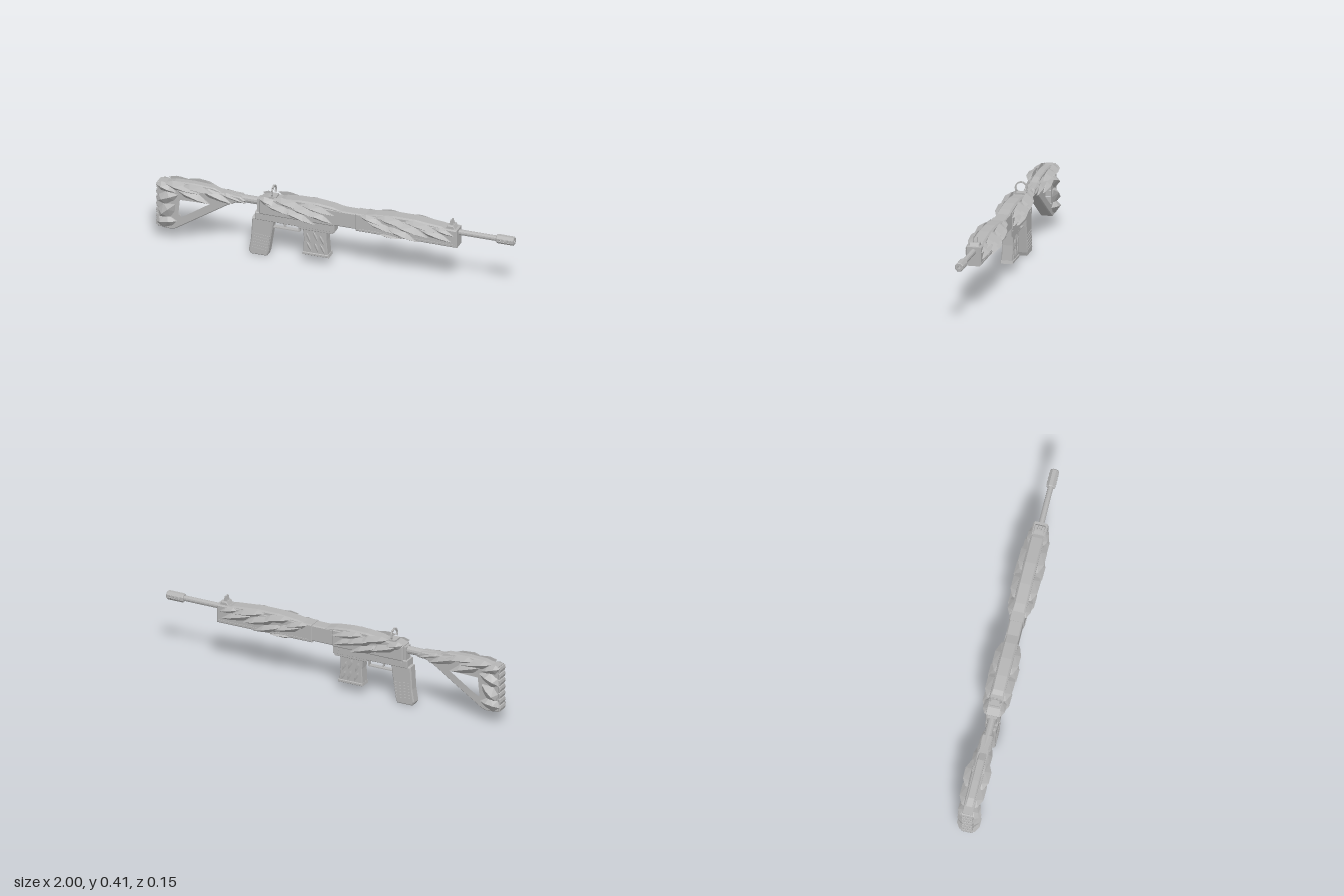
import * as THREE from 'three';
import { ConvexGeometry } from 'three/addons/geometries/ConvexGeometry.js';

export function createModel() {
  const root = new THREE.Group();
  root.name = 'scaledRifle';
  const grey = new THREE.MeshStandardMaterial({ color: 0xb4b4b4, flatShading: true });
  grey.name = 'grey';

  const add = (name, geo, x = 0, y = 0, z = 0) => {
    const m = new THREE.Mesh(geo, grey);
    m.name = name;
    m.position.set(x, y, z);
    root.add(m);
    return m;
  };
  const box = (name, x0, x1, y0, y1, half, z = 0) =>
    add(name, new THREE.BoxGeometry(x1 - x0, y1 - y0, half * 2), (x0 + x1) / 2, (y0 + y1) / 2, z);

  // side profile extruded across z with chamfered edges
  const slab = (name, pts, half, bevel = 0.006, hole = null) => {
    const v = (a) => a.map((p) => new THREE.Vector2(p[0], p[1]));
    const s = new THREE.Shape(v(pts));
    if (hole) s.holes.push(new THREE.Path(v(hole)));
    const g = new THREE.ExtrudeGeometry(s, {
      depth: 2 * (half - bevel), bevelEnabled: bevel > 0, bevelSegments: 1,
      bevelThickness: bevel, bevelSize: bevel, bevelOffset: -bevel,
    });
    g.translate(0, 0, -(half - bevel));
    return add(name, g);
  };
  // cylinder lying along x
  const rod = (name, x0, x1, y, r, sides) => {
    const g = new THREE.CylinderGeometry(r, r, x1 - x0, sides);
    g.rotateZ(Math.PI / 2);
    return add(name, g, (x0 + x1) / 2, y, 0);
  };
  // faceted leaf-shaped plate with a raised ridge, on both sides
  const scale = (name, [x, y, len, wid, deg, z, h]) => {
    const a = THREE.MathUtils.degToRad(deg), c = Math.cos(a), s = Math.sin(a);
    const pts = [
      [-0.5, 0.1, 0], [-0.3, 0.46, 0], [0.1, 0.5, 0], [0.5, -0.1, 0], [0.2, -0.42, 0], [-0.22, -0.5, 0],
      [-0.46, 0.06, 0.4], [-0.22, 0.1, 1], [0.16, 0.03, 1], [0.46, -0.08, 0.4],
    ];
    for (const side of [1, -1]) {
      add(name, new ConvexGeometry(pts.map(([u, v, w]) => new THREE.Vector3(
        x + u * len * c - v * wid * s, y + u * len * s + v * wid * c, side * (z + w * h)))));
    }
  };

  // barrel and muzzle
  rod('barrel', 0.66, 0.92, 0.322, 0.015, 12);
  const muzzle = new THREE.LatheGeometry([
    [0.009, 0.06], [0.009, 0.1], [0.021, 0.1], [0.025, 0.096], [0.025, 0.005], [0.021, 0], [0, 0],
  ].reverse().map((p) => new THREE.Vector2(p[0], p[1])), 8);
  muzzle.rotateY(Math.PI / 8);
  muzzle.rotateZ(-Math.PI / 2);
  add('muzzle', muzzle, 0.9, 0.322, 0);
  add('muzzleBore', new THREE.CircleGeometry(0.0095, 12).rotateY(Math.PI / 2), 0.962, 0.322, 0);
  for (const side of [1, -1]) for (let i = 0; i < 3; i++)
    add('muzzlePort', new THREE.TorusGeometry(0.006, 0.002, 4, 8), 0.925 + i * 0.024, 0.322, side * 0.0235);

  // main body
  slab('handguard', [[0.12, 0.245], [0.69, 0.243], [0.69, 0.346], [0.12, 0.348]], 0.04);
  slab('midSection', [[-0.01, 0.253], [0.13, 0.253], [0.13, 0.345], [-0.01, 0.345]], 0.036);
  slab('receiver', [[-0.42, 0.25], [0, 0.25], [0, 0.348], [-0.38, 0.348], [-0.42, 0.335]], 0.04);
  slab('lowerReceiver', [[-0.445, 0.212], [0, 0.208], [0, 0.256], [-0.445, 0.256]], 0.034, 0.004);
  slab('magazineWell', [[-0.2, 0.198], [-0.01, 0.198], [-0.01, 0.215], [-0.2, 0.215]], 0.033, 0.003);
  box('rearPlate', -0.435, -0.415, 0.25, 0.33, 0.026);

  // raised top covers
  slab('receiverCover', [[-0.33, 0.34], [0.06, 0.34], [-0.01, 0.358], [-0.1, 0.367], [-0.2, 0.366], [-0.28, 0.357]], 0.036, 0.008);
  slab('handguardCover', [[0.13, 0.34], [0.64, 0.34], [0.6, 0.352], [0.45, 0.366], [0.33, 0.366], [0.22, 0.356]], 0.036, 0.008);
  // seams and pins
  for (const side of [1, -1]) {
    box('sideRail', 0.14, 0.68, 0.252, 0.262, 0.002, side * 0.041);
    for (const x of [-0.41, -0.26, -0.03])
      add('pin', new THREE.CylinderGeometry(0.006, 0.006, 0.004, 8).rotateX(Math.PI / 2), x, 0.235, side * 0.035);
  }

  // sights
  slab('frontSightBase', [[0.62, 0.34], [0.68, 0.34], [0.665, 0.364], [0.635, 0.364]], 0.028, 0.004);
  for (const side of [1, -1]) slab('frontSightProng', [[0.638, 0.36], [0.662, 0.36], [0.653, 0.392], [0.645, 0.392]], 0.003, 0)
    .position.z = side * 0.011;
  slab('frontSightPost', [[0.645, 0.36], [0.655, 0.36], [0.65, 0.38]], 0.002, 0);
  box('rearSightBase', -0.37, -0.33, 0.345, 0.357, 0.028);
  for (let i = 0; i < 9; i++) {
    const a = THREE.MathUtils.degToRad(-20 + i * 27.5);
    const seg = add('rearSightSegment', new THREE.BoxGeometry(0.009, 0.008, 0.013),
      -0.35, 0.38 + Math.sin(a) * 0.031, Math.cos(a) * 0.031);
    seg.rotation.x = Math.PI / 2 - a;
  }

  // grip
  slab('grip', [[-0.462, 0.22], [-0.345, 0.22], [-0.35, 0.165], [-0.372, 0.02], [-0.38, 0], [-0.47, 0],
    [-0.482, 0.02], [-0.47, 0.09]], 0.028, 0.006);
  for (const side of [1, -1]) for (let i = 0; i < 6; i++) {
    const rib = box('gripRib', -0.462 + i * 0.002, -0.377 + i * 0.003, 0.03 + i * 0.017, 0.039 + i * 0.017, 0.002, side * 0.0285);
    rib.rotation.z = -0.1;
  }
  // trigger and guard
  box('triggerGuard', -0.355, -0.2, 0.168, 0.174, 0.012);
  box('triggerGuardFront', -0.206, -0.2, 0.17, 0.214, 0.012);
  slab('trigger', [[-0.3, 0.215], [-0.282, 0.215], [-0.288, 0.195], [-0.28, 0.18], [-0.288, 0.18], [-0.297, 0.195]], 0.006, 0);

  // magazine with small claw marks
  slab('magazine', [[-0.178, 0.205], [-0.045, 0.205], [-0.045, 0.15], [-0.037, 0.06], [-0.175, 0.06], [-0.172, 0.15]], 0.03, 0.004);
  slab('magazineBase', [[-0.178, 0.052], [-0.03, 0.052], [-0.034, 0.068], [-0.176, 0.068]], 0.034, 0.003);
  [[-0.145, 0.155, 65], [-0.105, 0.165, 62], [-0.07, 0.15, 60], [-0.14, 0.1, 60], [-0.1, 0.1, 66], [-0.065, 0.095, 60]]
    .forEach(([x, y, d]) => scale('magazineScale', [x, y, 0.07, 0.024, -d, 0.028, 0.006]));

  // stock
  rod('bufferTube', -0.64, -0.41, 0.308, 0.021, 12);
  slab('stockFrame', [[-0.99, 0.338], [-0.63, 0.33], [-0.55, 0.315], [-0.55, 0.29], [-0.6, 0.265], [-0.89, 0.075], [-0.92, 0.068], [-0.99, 0.075]],
    0.031, 0.005, [[-0.87, 0.255], [-0.69, 0.258], [-0.83, 0.16], [-0.88, 0.135]]);
  slab('stockCollar', [[-0.63, 0.33], [-0.53, 0.326], [-0.5, 0.305], [-0.53, 0.288], [-0.63, 0.28]], 0.03, 0.006);
  slab('stockTopScale', [[-0.97, 0.33], [-0.62, 0.325], [-0.68, 0.348], [-0.8, 0.354], [-0.9, 0.35]], 0.022, 0.006);
  for (let i = 0; i < 7; i++) // ribbed butt pad
    slab('buttPadRib', [[-0.985, 0.078 + i * 0.037], [-0.985, 0.113 + i * 0.037], [-0.996, 0.11 + i * 0.037], [-1, 0.096 + i * 0.037], [-0.996, 0.081 + i * 0.037]], 0.03, 0.002);

  // overlapping side scales: x, y, length, width, tilt, z, thickness
  const sets = {
    stockScale: [
      [-0.94, 0.31, 0.12, 0.055, -12, 0.028, 0.028], [-0.85, 0.325, 0.2, 0.052, -8, 0.03, 0.035],
      [-0.76, 0.335, 0.17, 0.04, -4, 0.034, 0.036], [-0.79, 0.285, 0.2, 0.055, -14, 0.028, 0.032],
      [-0.66, 0.305, 0.19, 0.055, -14, 0.026, 0.025], [-0.57, 0.308, 0.15, 0.04, -10, 0.022, 0.015],
      [-0.935, 0.255, 0.13, 0.075, 28, 0.028, 0.03], [-0.935, 0.18, 0.12, 0.085, 50, 0.028, 0.033],
      [-0.94, 0.115, 0.12, 0.08, 15, 0.028, 0.033],
    ],
    receiverScale: [
      [-0.36, 0.325, 0.13, 0.05, -14, 0.036, 0.024], [-0.3, 0.3, 0.2, 0.05, -14, 0.036, 0.036],
      [-0.24, 0.338, 0.2, 0.045, -10, 0.038, 0.035], [-0.16, 0.312, 0.2, 0.05, -12, 0.04, 0.037],
      [-0.2, 0.275, 0.2, 0.048, -16, 0.036, 0.033], [-0.09, 0.335, 0.19, 0.042, -9, 0.038, 0.032],
      [-0.08, 0.29, 0.15, 0.046, -14, 0.036, 0.028],
    ],
    handguardScale: [
      [0.22, 0.322, 0.15, 0.045, -12, 0.036, 0.026], [0.27, 0.295, 0.2, 0.045, -14, 0.036, 0.034],
      [0.34, 0.335, 0.2, 0.046, -9, 0.038, 0.035], [0.43, 0.308, 0.21, 0.05, -12, 0.04, 0.037],
      [0.38, 0.272, 0.19, 0.046, -15, 0.036, 0.033], [0.5, 0.336, 0.2, 0.04, -9, 0.038, 0.032],
      [0.57, 0.3, 0.19, 0.05, -12, 0.036, 0.03], [0.62, 0.325, 0.11, 0.036, -10, 0.036, 0.02],
      [0.31, 0.247, 0.13, 0.028, -3, 0.03, 0.026],
    ],
  };
  for (const [name, list] of Object.entries(sets)) list.forEach((p) => scale(name, p));

  return root;
}
